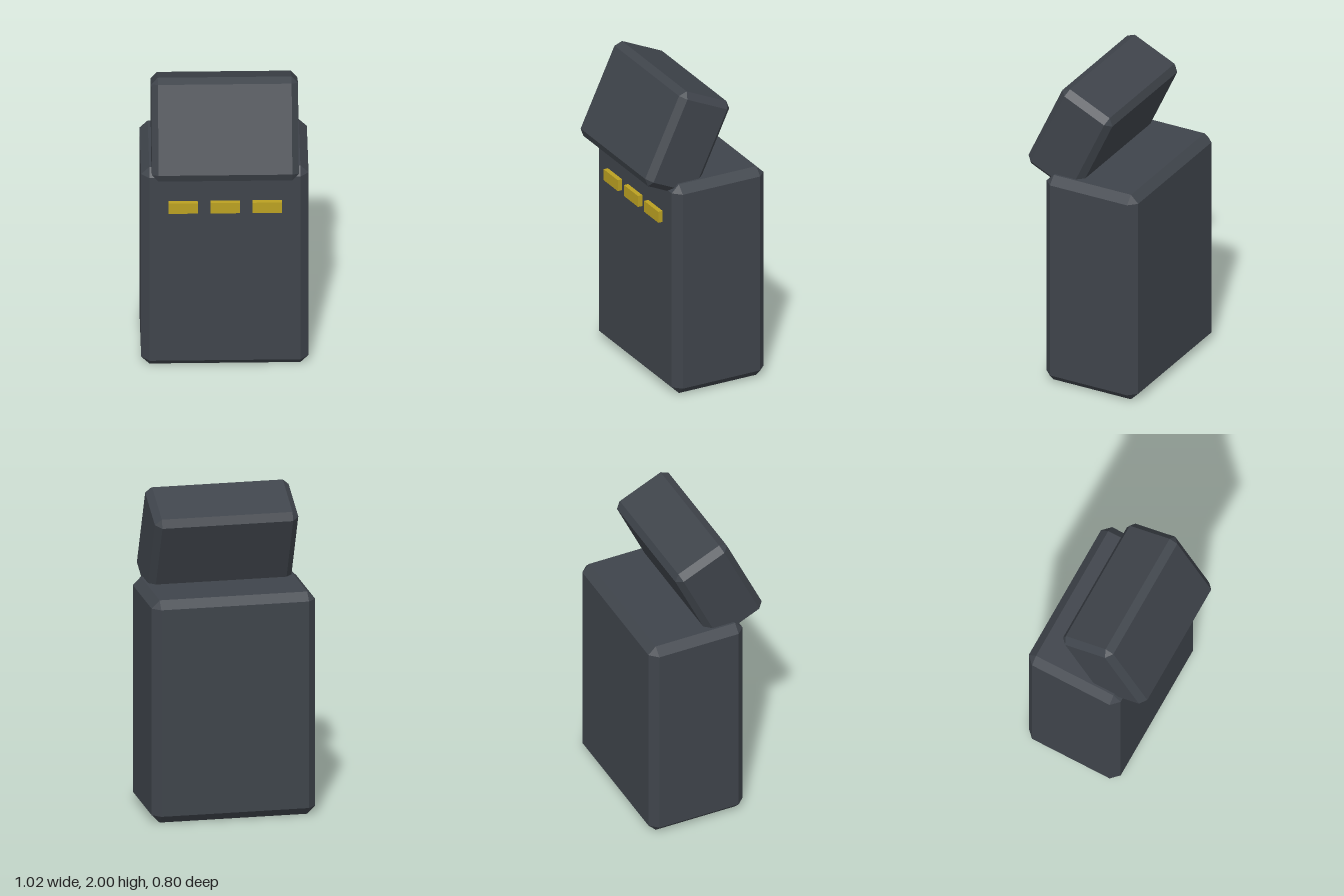
import * as THREE from 'three';
import { ConvexGeometry } from 'three/addons/geometries/ConvexGeometry.js';

// Box with every edge and corner cut by a flat bevel of size c
function chamferedBox(w, h, d, c) {
  const points = [];
  for (const sx of [-1, 1]) for (const sy of [-1, 1]) for (const sz of [-1, 1]) {
    const x = w / 2, y = h / 2, z = d / 2;
    points.push(
      new THREE.Vector3(sx * x, sy * (y - c), sz * (z - c)),
      new THREE.Vector3(sx * (x - c), sy * y, sz * (z - c)),
      new THREE.Vector3(sx * (x - c), sy * (y - c), sz * z)
    );
  }
  return new ConvexGeometry(points);
}

export function createModel() {
  const casing = new THREE.MeshStandardMaterial({ color: 0x3f444b });
  casing.name = 'dark grey casing';
  const brass = new THREE.MeshStandardMaterial({ color: 0xbba122 });
  brass.name = 'yellow brass';

  const model = new THREE.Group();
  model.name = 'flipTopCase';
  const add = (name, geometry, material, x, y, z) => {
    const mesh = new THREE.Mesh(geometry, material);
    mesh.name = name;
    mesh.position.set(x, y, z);
    model.add(mesh);
    return mesh;
  };

  // Upright body
  add('body', chamferedBox(1.024, 1.413, 0.64, 0.05), casing, 0, 0.7065, -0.079);

  // Lid, tipped backwards and sunk into the top of the body
  const lid = add('lid', chamferedBox(0.898, 0.64, 0.386, 0.04), casing, 0, 1.647, 0.104);
  lid.rotation.x = THREE.MathUtils.degToRad(-25);

  // Row of three raised bars on the front
  for (const i of [-1, 0, 1]) {
    add('frontBar', new THREE.BoxGeometry(0.18, 0.074, 0.064), brass, i * 0.257, 1.16, 0.239);
  }
  return model;
}
